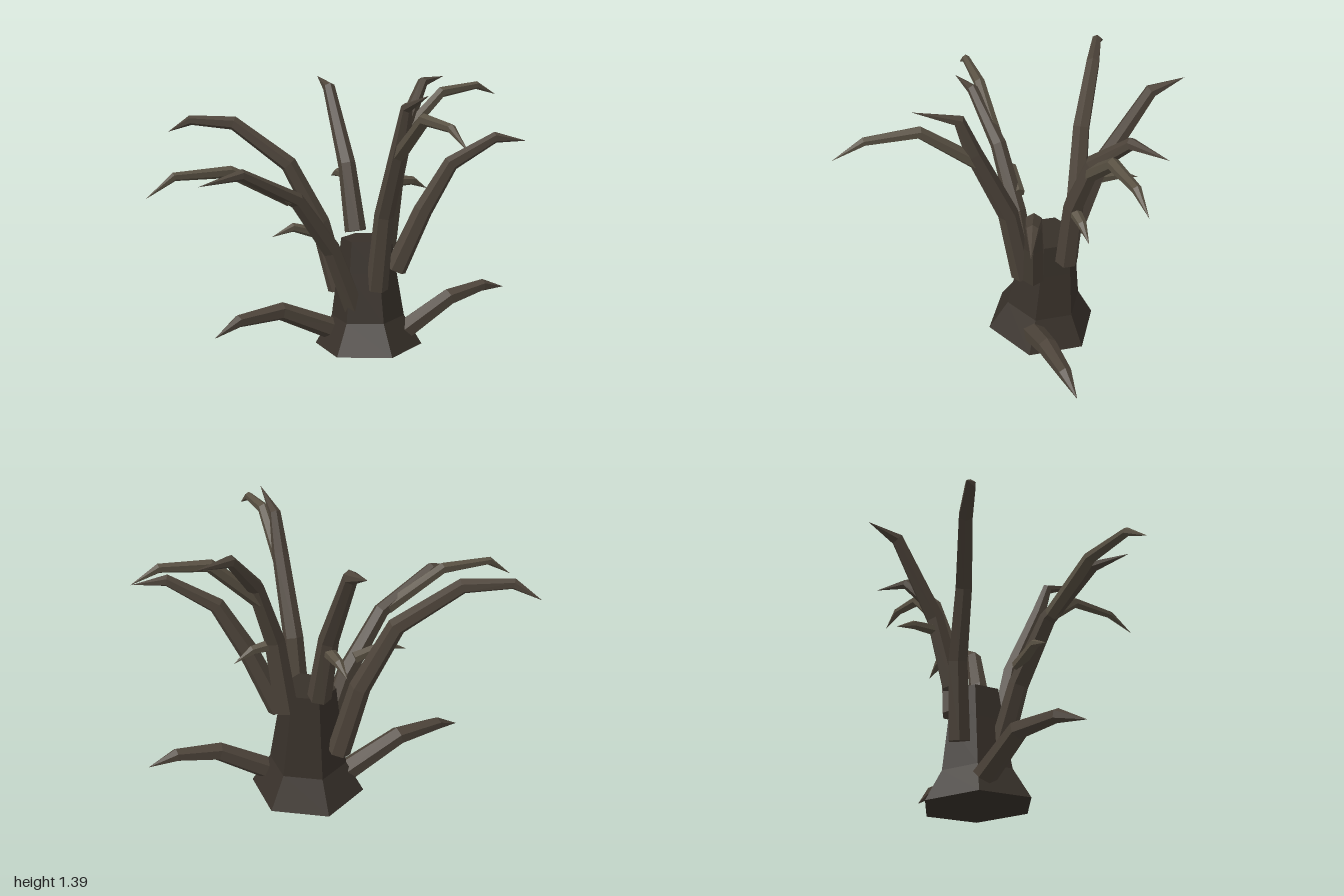
import * as THREE from 'three';

const SIDES = 6;
const barkMaterial = (color) => new THREE.MeshStandardMaterial({ color, flatShading: true });
const trunkBark = barkMaterial(0x38312a);
const branchBark = barkMaterial(0x4d443a);
const twigBark = barkMaterial(0x595143);

// Six-sided limb that tapers from a cut end to a point.
// Each bend is [fraction of the way out, height, shift in z].
function limbGeometry(radius, start, tip, bends) {
  const from = new THREE.Vector3(...start);
  const to = new THREE.Vector3(...tip);
  const middle = bends.map(([t, y, dz = 0]) => {
    const p = from.clone().lerp(to, t);
    return p.set(p.x, y, p.z + dz);
  });
  const path = [from, ...middle, to];
  const last = path.length - 1;
  const side = new THREE.Vector3(0, 1, 0).cross(to.clone().sub(from)).normalize();
  const positions = [];
  const index = [];

  path.forEach((p, i) => {
    const before = p.clone().sub(path[Math.max(i - 1, 0)]).normalize();
    const after = path[Math.min(i + 1, last)].clone().sub(p).normalize();
    const dir = before.add(after).normalize();
    const u = side.clone().addScaledVector(dir, -side.dot(dir)).normalize();
    const v = dir.clone().cross(u);
    const r = radius * Math.sqrt(1 - i / last);
    for (let j = 0; j < SIDES; j++) {
      const a = Math.PI / 2 + (j / SIDES) * Math.PI * 2;
      const q = p.clone().addScaledVector(u, r * Math.cos(a)).addScaledVector(v, r * Math.sin(a));
      positions.push(q.x, q.y, q.z);
    }
  });

  for (let i = 0; i < last; i++) {
    for (let j = 0; j < SIDES; j++) {
      const a = i * SIDES + j;
      const b = i * SIDES + ((j + 1) % SIDES);
      index.push(a, b, a + SIDES);
      if (i < last - 1) index.push(b, b + SIDES, a + SIDES);
    }
  }
  // Cut end
  for (let j = 1; j < SIDES - 1; j++) index.push(0, j + 1, j);

  const geometry = new THREE.BufferGeometry();
  geometry.setAttribute('position', new THREE.Float32BufferAttribute(positions, 3));
  geometry.setIndex(index);
  geometry.computeVertexNormals();
  return geometry;
}

// Every limb: name, cut end, tip, bends
const branches = [
  ['frontBranch', [0.165, 0.35, -0.05], [0.165, 1.39, 0.46], [0.15, 0.75], [0.47, 1.13], [0.59, 1.31]],
  ['backBranch', [0.165, 0.59, -0.31], [0.165, 1.355, -0.815], [0.22, 0.93], [0.68, 1.31]],
  ['leftFrontBranch', [0.28, 0.43, -0.07], [0.9, 1.09, 0.15], [0.21, 0.74], [0.42, 0.98], [0.76, 1.11]],
  ['leftBranch', [0.3, 0.51, -0.23], [0.77, 1.36, -0.475], [0.11, 0.88, 0.025], [0.32, 1.17, 0.03], [0.62, 1.345]],
  ['rightFrontBranch', [0.06, 0.25, -0.11], [-0.78, 0.98, 0.04], [0.155, 0.57], [0.39, 0.85], [0.74, 1.01]],
  ['rightBackBranch', [0.07, 0.28, -0.32], [-0.7, 1.11, -0.76], [0.1, 0.64, -0.02], [0.29, 0.95], [0.61, 1.16], [0.87, 1.175, 0.02]],
];

const forks = [
  ['frontFork', [0.165, 1.08, 0.18], [0.155, 1.2, 0.82], [0.39, 1.28], [0.77, 1.275]],
  ['leftFork', [0.43, 1.1, -0.27], [0.995, 1.27, -0.3], [0.39, 1.3], [0.78, 1.325]],
  ['rightFork', [-0.3, 0.86, -0.05], [-1, 0.93, -0.04], [0.43, 1.02], [0.81, 1.02]],
];

const twigs = [
  ['backTwig', [0.165, 0.87, -0.4], [0.165, 0.83, -0.63], [0.6, 0.865]],
  ['leftTwig', [0.35, 0.86, -0.23], [0.55, 0.8, -0.24], [0.55, 0.85]],
  ['rightTwig', [-0.1, 0.65, -0.11], [-0.37, 0.66, -0.13], [0.6, 0.7]],
];

const roots = [
  ['leftRoot', [0.3, 0.075, -0.065], [0.94, 0.25, -0.07], [0.45, 0.245, 0.02], [0.78, 0.28, 0.01]],
  ['rightRoot', [0.01, 0.09, -0.23], [-0.675, 0.175, -0.14], [0.44, 0.235, -0.04], [0.79, 0.23, -0.03]],
];

function addLimbs(model, limbs, radius, material) {
  for (const [name, start, tip, ...bends] of limbs) {
    const limb = new THREE.Mesh(limbGeometry(radius, start, tip, bends), material);
    limb.name = name;
    model.add(limb);
  }
}

export function createModel() {
  const model = new THREE.Group();
  model.name = 'deadTree';

  // Flared hexagonal trunk, leaning slightly back
  const profile = [[0, 0], [0.28, 0], [0.19, 0.155], [0.152, 0.405], [0.13, 0.57], [0, 0.57]];
  const outline = profile.map(([x, y]) => new THREE.Vector2(x, y));
  const trunk = new THREE.Mesh(new THREE.LatheGeometry(outline, SIDES), trunkBark);
  trunk.name = 'trunk';
  trunk.rotation.x = -0.055;
  trunk.position.set(0.168, 0.015, -0.155);
  model.add(trunk);

  addLimbs(model, branches, 0.057, branchBark);
  addLimbs(model, forks, 0.036, twigBark);
  addLimbs(model, twigs, 0.032, twigBark);
  addLimbs(model, roots, 0.058, branchBark);
  return model;
}
